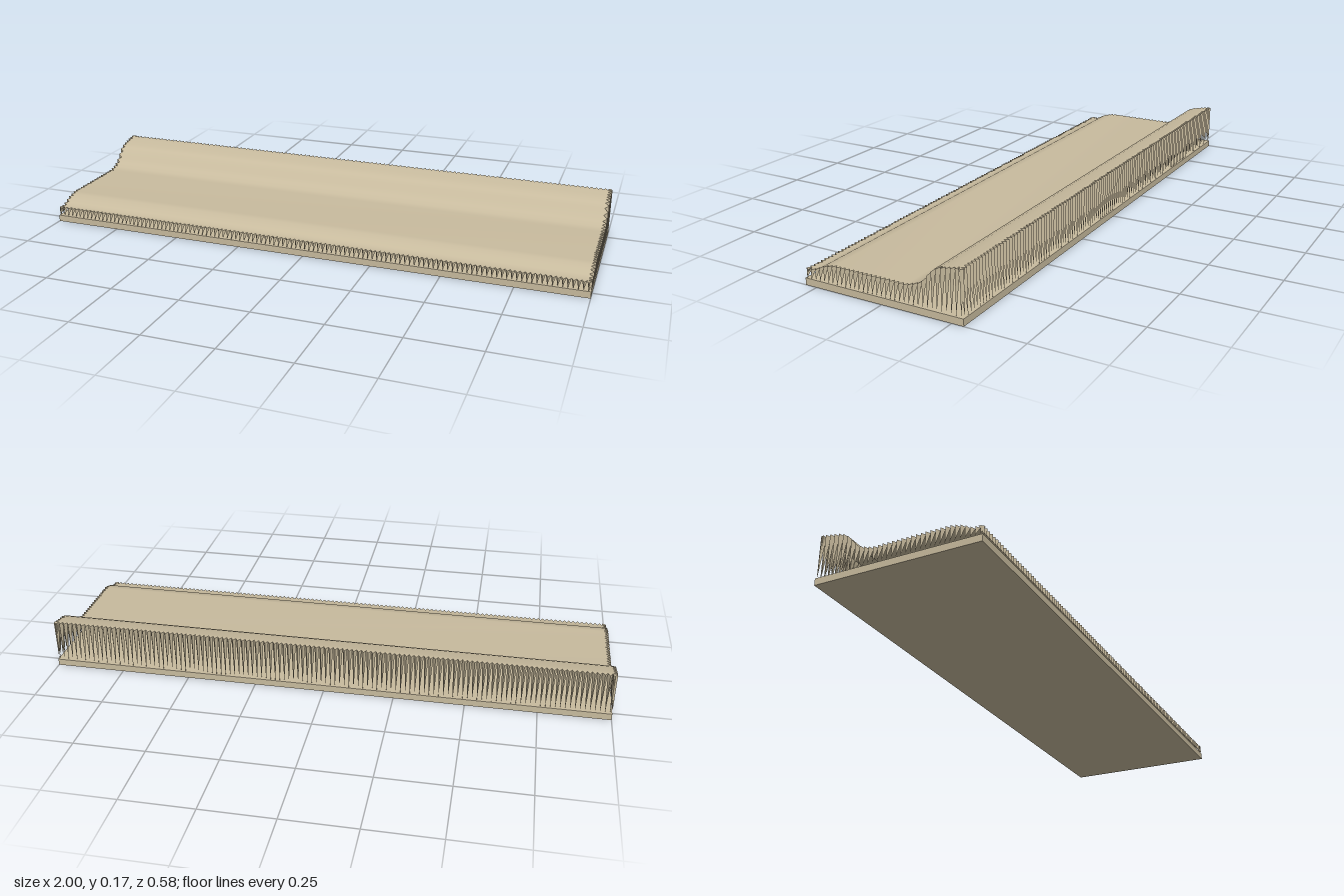
import * as THREE from 'three';

const HX = 1, HZ = 0.292;      // half size of the footprint
const INSET = 0.015;           // depth of the pointed fringe
const SLAB = 0.024, TIP = 0.026;

// Height of the cover, from the back edge to the front edge: [z, y]
const PROFILE = [
  [-0.292, 0.175], [-0.272, 0.175], [-0.255, 0.172], [-0.24, 0.169], [-0.21, 0.163],
  [-0.19, 0.154], [-0.175, 0.14], [-0.157, 0.117], [-0.14, 0.101], [-0.115, 0.091],
  [-0.09, 0.084], [0.18, 0.084], [0.2, 0.08], [0.225, 0.073], [0.245, 0.062],
  [0.26, 0.056], [0.292, 0.055],
];

function heightAt(z) {
  for (let i = 1; i < PROFILE.length; i++) {
    const [z0, y0] = PROFILE[i - 1], [z1, y1] = PROFILE[i];
    if (z <= z1) return y0 + (y1 - y0) * Math.max(0, (z - z0) / (z1 - z0));
  }
  return PROFILE[PROFILE.length - 1][1];
}

// Smooth sheet that follows the profile along its whole length
function coverGeometry() {
  const geo = new THREE.PlaneGeometry(2 * (HX - INSET), 1, 1, PROFILE.length - 1);
  const pos = geo.attributes.position;
  for (let i = 0; i < pos.count; i++) {
    const row = Math.floor(i / 2);
    const z = THREE.MathUtils.clamp(PROFILE[row][0], -HZ + INSET, HZ - INSET);
    pos.setXYZ(i, pos.getX(i), heightAt(z), z);
  }
  geo.computeVertexNormals();
  return geo;
}

// Row of downward points along one edge; n is outward, t runs left to right seen from outside
function fringeGeometry(n, t, halfLength, distance, count) {
  const at = (s, d, y) => {
    const x = n[0] * d + t[0] * s, z = n[1] * d + t[1] * s;
    return [x, y ?? heightAt(z), z];
  };
  const verts = [];
  const step = (2 * halfLength) / count;
  for (let i = 0; i < count; i++) {
    const s = -halfLength + i * step;
    const a = at(s, distance - INSET), b = at(s + step, distance - INSET);
    const m = at(s + step / 2, distance), tip = at(s + step / 2, distance, TIP);
    for (const p of [a, tip, m, m, tip, b, a, m, b, b, tip, a]) verts.push(...p);
  }
  const geo = new THREE.BufferGeometry();
  geo.setAttribute('position', new THREE.Float32BufferAttribute(verts, 3));
  geo.computeVertexNormals();
  return geo;
}

export function createModel() {
  const group = new THREE.Group();
  const sand = new THREE.MeshStandardMaterial({ color: 0xc8bb9e, side: THREE.DoubleSide });
  sand.name = 'sand';

  const add = (name, geo) => {
    const mesh = new THREE.Mesh(geo, sand);
    mesh.name = name;
    group.add(mesh);
    return mesh;
  };

  // Flat base and the moulded cover above it
  add('baseSlab', new THREE.BoxGeometry(2 * HX, SLAB, 2 * HZ)).position.y = SLAB / 2;
  add('cover', coverGeometry());

  // Pointed fringe on all four edges
  add('frontFringe', fringeGeometry([0, 1], [1, 0], HX, HZ, 120));
  add('backFringe', fringeGeometry([0, -1], [-1, 0], HX, HZ, 120));
  add('leftFringe', fringeGeometry([1, 0], [0, -1], HZ, HX, 35));
  add('rightFringe', fringeGeometry([-1, 0], [0, 1], HZ, HX, 35));
  return group;
}
